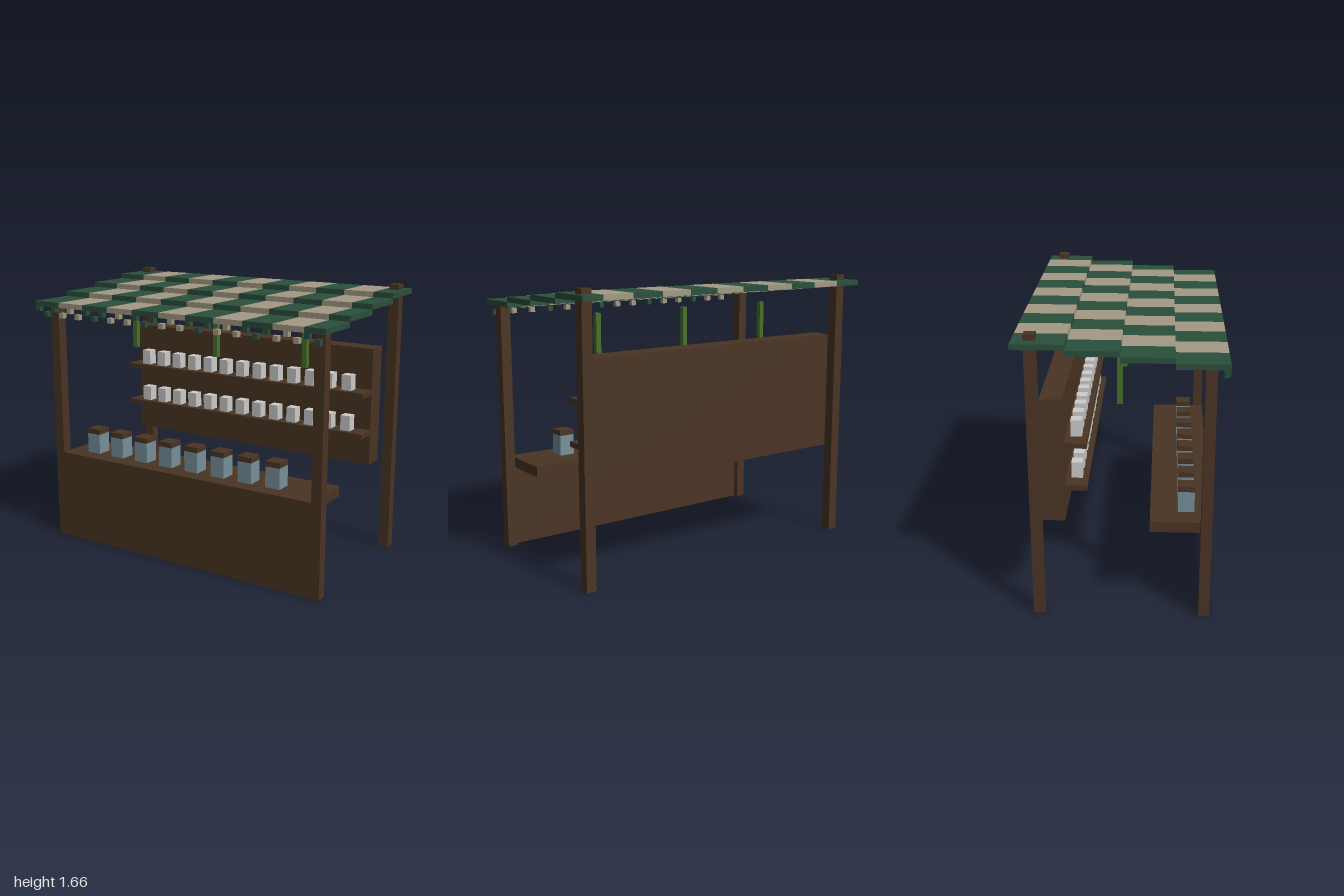
import * as THREE from 'three';

const U = 1 / 32; // grid unit the whole stall is laid out on

const mat = (name, color) => {
  const m = new THREE.MeshStandardMaterial({ color });
  m.name = name;
  return m;
};

export function createModel() {
  const wood = mat('dark wood', 0x4a3423);
  const green = mat('awning green', 0x2a4f3c);
  const cream = mat('awning cream', 0xa39a84);
  const white = mat('cup white', 0xcdcdcd);
  const glass = mat('jar blue', 0x78909a);
  const leaf = mat('herb green', 0x46702a);

  const model = new THREE.Group();
  model.name = 'marketStall';

  const group = (name) => {
    const g = new THREE.Group();
    g.name = name;
    model.add(g);
    return g;
  };

  // Box from its minimum corner and size, in grid units
  const box = (parent, name, material, [x, y, z], [w, h, d]) => {
    const mesh = new THREE.Mesh(new THREE.BoxGeometry(w * U, h * U, d * U), material);
    mesh.position.set((x + w / 2) * U, (y + h / 2) * U, (z + d / 2) * U);
    mesh.name = name;
    parent.add(mesh);
  };

  // Posts: the back pair runs up through the awning
  const posts = group('posts');
  for (const x of [-30, 29]) {
    box(posts, 'frontPost', wood, [x, 0, 14], [2, 48, 2]);
    box(posts, 'backPost', wood, [x, 0, -16], [2, 53, 2]);
  }

  // Counter with its front panel
  const counter = group('counter');
  box(counter, 'frontPanel', wood, [-28, 0, 15], [57, 18, 1]);
  box(counter, 'counterTop', wood, [-28, 16, 5], [57, 2, 10]);

  // Back board with two shelves of cups
  const shelving = group('shelving');
  box(shelving, 'backBoard', wood, [-28, 18, -14], [56, 23, 4]);
  for (const y of [24, 32]) {
    box(shelving, 'shelf', wood, [-28, y, -10], [56, 1, 4]);
    for (let i = 0; i < 13; i++) {
      box(shelving, 'cup', white, [-25 + i * 4, y + 1, -9], [2, 3, 2]);
    }
  }

  // Lidded jars on the counter
  const jars = group('jars');
  for (let i = 0; i < 8; i++) {
    const x = -24 + i * 6;
    box(jars, 'jar', glass, [x, 18, 10], [3, 4, 3]);
    box(jars, 'jarLid', wood, [x, 22, 10], [3, 1, 3]);
  }

  // Hanging herb bundles
  const herbs = group('hangingHerbs');
  for (const x of [-22, -2, 18]) {
    box(herbs, 'herbBundle', leaf, [x, 38, -1], [1, 9, 1]);
  }

  // Striped awning in four steps rising to the back
  const stripe = (i) => (Math.floor(i / 6) % 2 ? cream : green);
  const awning = group('awning');
  for (let s = 0; s < 4; s++) {
    for (let i = 0; i < 64; i += 6) {
      box(awning, 'awningStripe', stripe(i), [i - 32, 48 + s, 9 - s * 9], [Math.min(6, 64 - i), 1, 9]);
    }
  }

  // Fringe along the front edge, in two staggered rows
  const fringe = group('fringe');
  for (let i = 0; i < 64; i += 2) {
    box(fringe, 'fringeTab', stripe(i), [i - 32, i % 4 ? 46 : 47, 17], [1, 1, 1]);
  }

  return model;
}
